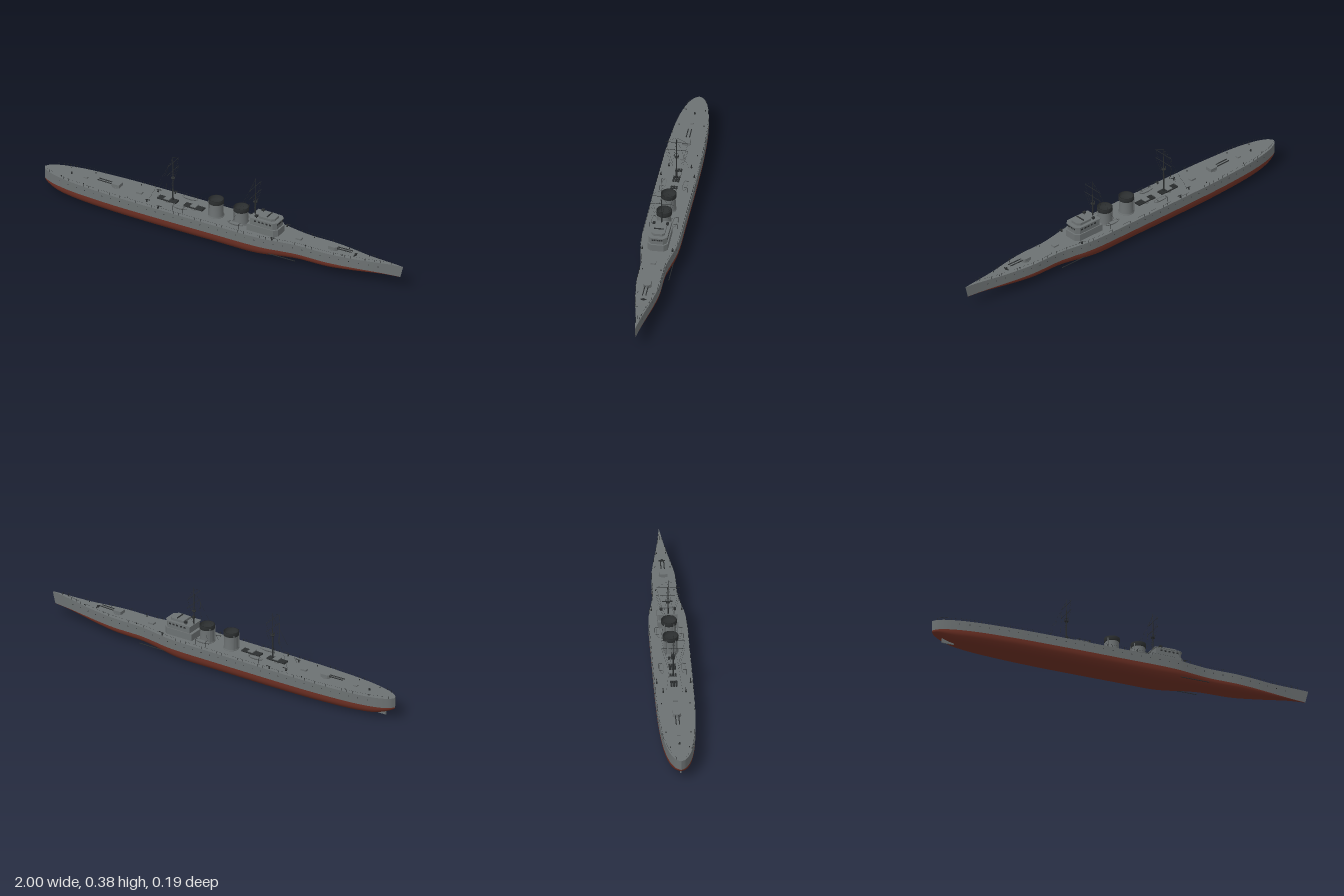
import * as THREE from 'three';
import { mergeGeometries } from 'three/addons/utils/BufferGeometryUtils.js';

const mat = (name, color, side = THREE.FrontSide) => {
  const m = new THREE.MeshStandardMaterial({ color, side });
  m.name = name;
  return m;
};

// Hull stations: x, half beam, keel height
const STATIONS = [
  [-1, 0, 0.06], [-0.985, 0.022, 0.05], [-0.95, 0.042, 0.035], [-0.9, 0.058, 0.02], [-0.8, 0.076, 0.01],
  [-0.6, 0.09, 0.003], [-0.4, 0.094, 0], [0, 0.094, 0], [0.2, 0.093, 0], [0.28, 0.087, 0.008], [0.36, 0.073, 0.018],
  [0.44, 0.061, 0.024], [0.6, 0.058, 0.028], [0.7, 0.046, 0.037], [0.8, 0.029, 0.048], [0.9, 0.013, 0.059], [1, 0, 0.064],
];
const WL = 0.065;
const N = 120;
const LINE = new THREE.CatmullRomCurve3(STATIONS.map((s) => new THREE.Vector3(...s))).getPoints(N);
const bowness = (x) => THREE.MathUtils.smoothstep(x, 0.75, 1);
const deckY = (x) => 0.115 + 0.01 * bowness(x);
const halfBeam = (x) => {
  const i = Math.max(1, LINE.findIndex((p) => p.x >= x));
  const a = LINE[i - 1], b = LINE[i];
  return Math.max(0, a.y + (b.y - a.y) * (x - a.x) / (b.x - a.x));
};

// Skin over the stations: section(p, v) gives [y, z] across each one
function loft(nv, section) {
  const pos = [], idx = [];
  LINE.forEach((p, i) => {
    for (let j = 0; j <= nv; j++) {
      const [y, z] = section(p, j / nv);
      pos.push(p.x - 0.25 * (deckY(p.x) - y) * bowness(p.x), y, z);
      if (i < N && j < nv) {
        const a = i * (nv + 1) + j, b = a + nv + 1;
        idx.push(a, b, b + 1, a, b + 1, a + 1);
      }
    }
  });
  const g = new THREE.BufferGeometry();
  g.setAttribute('position', new THREE.Float32BufferAttribute(pos, 3));
  g.setIndex(idx);
  g.computeVertexNormals();
  return g;
}

const box = (w, h, d, x, y, z) => new THREE.BoxGeometry(w, h, d).translate(x, y, z);
const cyl = (r0, r1, h, x, y, z, n = 12) => new THREE.CylinderGeometry(r1, r0, h, n).translate(x, y + h / 2, z);

// Round bar between two points
function rod(a, b, r = 0.0008, n = 5) {
  const p = new THREE.Vector3(...a), d = new THREE.Vector3(...b).sub(p);
  const q = new THREE.Quaternion().setFromUnitVectors(new THREE.Vector3(0, 1, 0), d.clone().normalize());
  return new THREE.CylinderGeometry(r, r, d.length(), n).applyQuaternion(q)
    .translate(p.x + d.x / 2, p.y + d.y / 2, p.z + d.z / 2);
}

// Deckhouse with chamfered forward corners
function house(x0, x1, hw, y0, y1, c) {
  const s = new THREE.Shape([[x0, -hw], [x1 - c, -hw], [x1, -hw + c], [x1, hw - c], [x1 - c, hw], [x0, hw]]
    .map((p) => new THREE.Vector2(...p)));
  return new THREE.ExtrudeGeometry(s, { depth: y1 - y0, bevelEnabled: false }).rotateX(-Math.PI / 2).translate(0, y0, 0);
}

export function createModel() {
  const ship = new THREE.Group();
  ship.name = 'warship';
  const grey = mat('ship grey', 0x6c7172, THREE.DoubleSide);
  const red = mat('underwater red', 0x6e3024, THREE.DoubleSide);
  const dark = mat('dark metal', 0x2b2e2f, THREE.DoubleSide);
  const add = (name, parts, m) => {
    const list = [].concat(parts);
    const g = list.length > 1 ? mergeGeometries(list.map((p) => (p.index ? p.toNonIndexed() : p))) : list[0];
    const mesh = new THREE.Mesh(g, m);
    mesh.name = name;
    ship.add(mesh);
  };

  // Hull
  add('lowerHull', loft(28, (p, v) => {
    const t = Math.PI * (v - 0.5), k = 2 / 2.6;
    return [WL - (WL - p.z) * Math.cos(t) ** k, p.y * Math.sign(t) * Math.abs(Math.sin(t)) ** k];
  }), red);
  for (const s of [1, -1]) {
    add(s > 0 ? 'leftHullSide' : 'rightHullSide', loft(3, (p, v) => {
      const t = s > 0 ? v : 1 - v;
      return [WL + (deckY(p.x) - WL) * t, s * p.y];
    }), grey);
  }
  add('deck', loft(2, (p, v) => [deckY(p.x), p.y * (1 - 2 * v)]), grey);
  add('rudder', box(0.065, 0.05, 0.006, -0.915, 0.036, 0), grey);
  add('sideBooms', [1, -1].map((s) => rod([0.27, 0.035, s * 0.077], [0.44, 0.035, s * 0.077], 0.002, 6)), dark);

  // Portholes and railings
  const ports = [], posts = [];
  for (const s of [1, -1]) {
    for (let x = -0.88; x < 0.9; x += 0.05) {
      ports.push(new THREE.CylinderGeometry(0.0022, 0.0022, 0.002, 8).rotateX(Math.PI / 2)
        .translate(x, 0.097, s * halfBeam(x)));
    }
    const edge = [];
    for (let x = -0.98; x < 0.97; x += 0.03) {
      const z = s * Math.max(0, halfBeam(x) - 0.002), y = deckY(x);
      posts.push(rod([x, y, z], [x, y + 0.012, z], 0.0007, 4));
      edge.push([x, y + 0.012, z]);
    }
    for (let i = 1; i < edge.length; i++) posts.push(rod(edge[i - 1], edge[i], 0.0003, 4));
  }
  add('portholes', ports, dark);
  add('railings', posts, dark);

  // Bridge
  add('bridge', [
    house(0.155, 0.32, 0.05, 0.113, 0.15, 0.018),
    house(0.17, 0.312, 0.045, 0.15, 0.183, 0.016),
    house(0.165, 0.317, 0.048, 0.183, 0.187, 0.018),
    house(0.215, 0.295, 0.032, 0.187, 0.199, 0.012),
  ], grey);
  const panes = [];
  for (let i = -2; i <= 2; i++) panes.push(box(0.002, 0.008, 0.008, 0.312, 0.173, i * 0.0115));
  for (const s of [1, -1]) {
    for (let i = 0; i < 5; i++) panes.push(box(0.011, 0.008, 0.002, 0.2 + i * 0.021, 0.173, s * 0.045));
  }
  add('bridgeWindows', panes, dark);
  add('bridgeFittings', [
    ...[1, -1].flatMap((s) => [cyl(0.002, 0.002, 0.01, 0.2, 0.187, s * 0.033), box(0.014, 0.009, 0.012, 0.2, 0.198, s * 0.033)]),
    rod([0.255, 0.203, -0.025], [0.255, 0.203, 0.025], 0.003, 8),
  ], dark);

  // Funnels with hollow dark caps
  for (const [x, top] of [[-0.043, 0.207], [0.097, 0.204]]) {
    const lathe = (pts) => new THREE.LatheGeometry(pts.map((p) => new THREE.Vector2(...p)), 28).translate(x, 0, 0);
    add('funnel', lathe([[0.039, 0.113], [0.039, 0.12], [0.035, 0.121], [0.034, top - 0.022]]), grey);
    add('funnelCap', lathe([[0.034, top - 0.022], [0.038, top - 0.02], [0.038, top], [0.034, top], [0.032, top - 0.02], [0, top - 0.02]]), dark);
    add('funnelPipes', [1, -1].map((s) => rod([x - 0.03, 0.115, s * 0.022], [x - 0.03, top - 0.01, s * 0.022], 0.003, 6)), grey);
  }

  // Masts with yards, lookout and rigging
  for (const [x, top] of [[0.175, 0.38], [-0.285, 0.37]]) {
    add('mast', [cyl(0.0042, 0.003, 0.15, x, 0.113, 0, 8), cyl(0.0025, 0.001, top - 0.26, x, 0.26, 0, 6)], dark);
    add('lookout', [cyl(0.008, 0.011, 0.004, x, 0.249, 0), new THREE.TorusGeometry(0.011, 0.0008, 4, 16).rotateX(Math.PI / 2).translate(x, 0.265, 0),
      ...[0, 1, 2, 3, 4, 5].map((i) => rod([x + 0.011 * Math.cos(i * 1.047), 0.25, 0.011 * Math.sin(i * 1.047)],
        [x + 0.011 * Math.cos(i * 1.047), 0.265, 0.011 * Math.sin(i * 1.047)], 0.0006, 4))], dark);
    add('yards', [0.338, 0.293].map((y) => rod([x, y, -0.057], [x, y, 0.057], 0.0012)), dark);
    add('rigging', [1, -1].flatMap((s) => [
      rod([x, top - 0.005, 0], [x, 0.338, s * 0.057], 0.0004, 4),
      rod([x, 0.338, s * 0.057], [x - 0.02, 0.2, s * 0.022], 0.0004, 4),
      rod([x, 0.293, s * 0.057], [x - 0.02, 0.19, s * 0.027], 0.0004, 4),
      rod([x, top - 0.01, 0], [x - 0.115, 0.115, s * 0.04], 0.0004, 4),
    ]), dark);
  }

  // Twin gun mounts, fore and aft
  for (const [x, d] of [[0.615, 1], [-0.6, -1]]) {
    const y = deckY(x);
    add('gunShield', [cyl(0.022, 0.022, 0.005, x, y - 0.001, 0, 20),
      house(-0.024, 0.022, 0.019, 0.004, 0.02, 0.008).scale(d, 1, d).translate(x, y, 0)], grey);
    add('gunBarrels', [1, -1].map((s) => rod([x, y + 0.012, s * 0.008], [x + d * 0.1, y + 0.014, s * 0.008], 0.0025, 8)), dark);
  }

  // Torpedo tubes
  for (const x of [-0.312, -0.165]) {
    add('torpedoMount', [cyl(0.017, 0.017, 0.008, x, 0.113, 0, 16), box(0.03, 0.004, 0.036, x, 0.134, 0)], grey);
    add('torpedoTubes', [-1, 0, 1].map((i) => rod([x - 0.052, 0.126, i * 0.012], [x + 0.052, 0.126, i * 0.012], 0.0053, 10)), dark);
  }

  // Ship's boats on davits
  for (const x of [-0.22, 0.092]) {
    for (const s of [1, -1]) {
      add('boat', new THREE.SphereGeometry(1, 16, 8, 0, Math.PI * 2, Math.PI / 2, Math.PI / 2)
        .scale(0.044, 0.012, 0.011).translate(x, 0.136, s * 0.052), grey);
      add('boatCover', new THREE.CircleGeometry(1, 20).rotateX(-Math.PI / 2).scale(0.04, 1, 0.009).translate(x, 0.1355, s * 0.052), grey);
      add('davits', [-0.028, 0.028].flatMap((d) => [rod([x + d, 0.114, s * 0.067], [x + d, 0.142, s * 0.067], 0.001),
        rod([x + d, 0.142, s * 0.067], [x + d, 0.142, s * 0.05], 0.001)]), dark);
    }
  }

  // Small side guns, bollards, vents and capstan
  for (const [x, z] of [[0.31, 0.074], [-0.32, 0.082], [-0.4, 0.055]]) {
    for (const s of [1, -1]) {
      add('sideGun', [cyl(0.005, 0.003, 0.012, x, 0.113, s * z, 8),
        rod([x - 0.008, 0.127, s * z], [x + 0.018, 0.129, s * z], 0.0018, 6)], dark);
    }
  }
  const fittings = [cyl(0.006, 0.005, 0.01, 0.735, 0.114, 0), box(0.005, 0.004, 0.03, 0.735, 0.118, 0), cyl(0.005, 0.004, 0.01, -0.85, 0.114, 0)];
  for (const x of [-0.88, -0.75, -0.5, 0.48, 0.68, 0.8]) {
    for (const s of [1, -1]) fittings.push(cyl(0.002, 0.0025, 0.007, x, 0.114, s * halfBeam(x) * 0.75, 8));
  }
  add('deckFittings', fittings, dark);
  add('skylights', [box(0.03, 0.01, 0.022, -0.47, 0.118, 0), box(0.02, 0.008, 0.016, -0.77, 0.117, 0), box(0.03, 0.01, 0.024, 0.42, 0.118, 0)], grey);
  add('jackstaff', rod([0.91, 0.12, 0], [0.91, 0.142, 0], 0.0008), dark);
  return ship;
}
